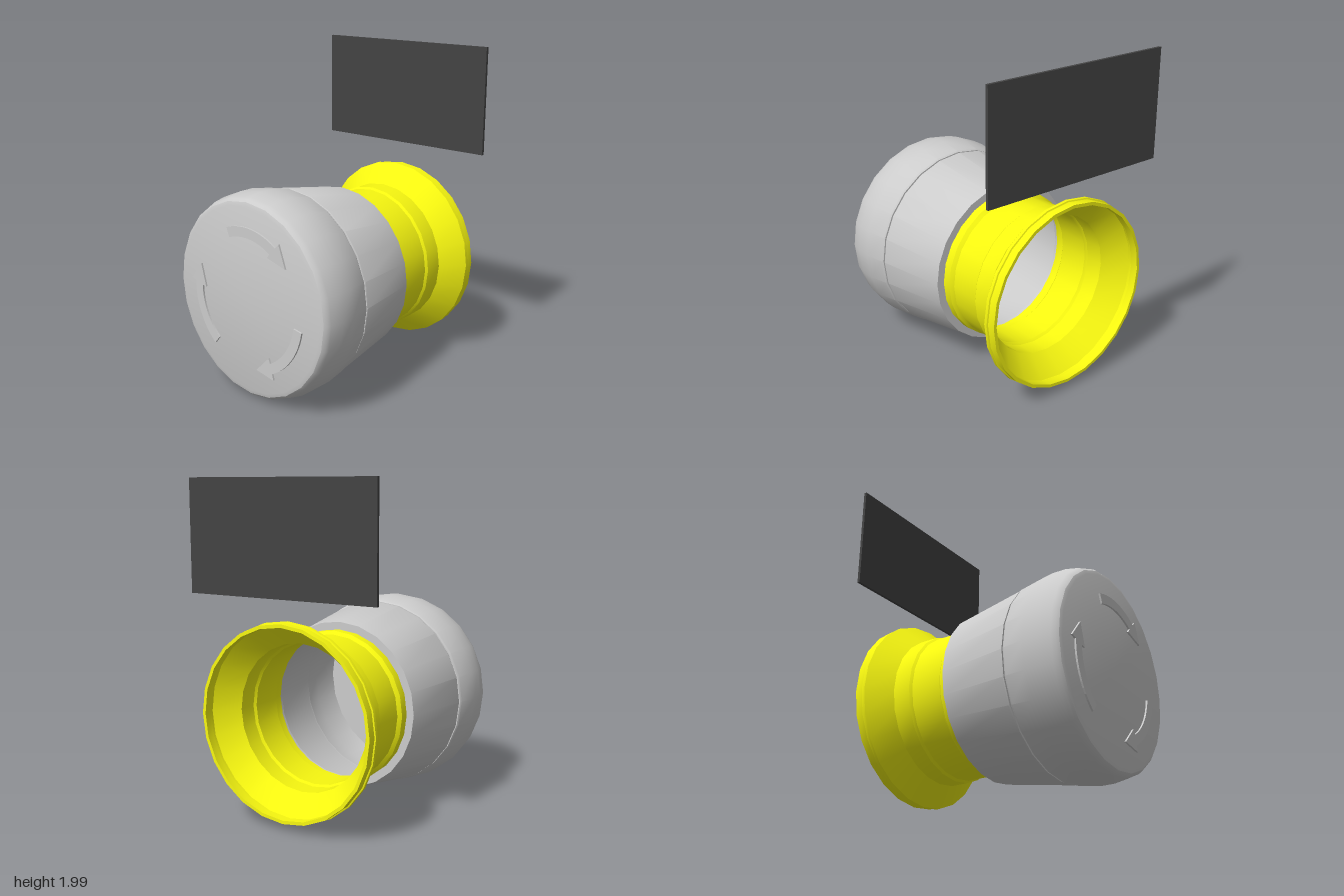
import * as THREE from 'three';
import { toCreasedNormals } from 'three/addons/utils/BufferGeometryUtils.js';

const CENTRE_Y = 0.628;
const SIDES = 24;

export function createModel() {
  const group = new THREE.Group();
  const grey = new THREE.MeshStandardMaterial({ color: 0xcccccc });
  const yellow = new THREE.MeshStandardMaterial({ color: 0xf8f810 });
  const dark = new THREE.MeshStandardMaterial({ color: 0x444444 });

  function add(name, geometry, material, y) {
    const mesh = new THREE.Mesh(geometry, material);
    mesh.name = name;
    mesh.position.y = y;
    group.add(mesh);
    return mesh;
  }

  // Turned part along z: profile holds [radius, z], outside first, then back along the inside
  function turned(name, profile, material) {
    const points = profile.map(([r, z]) => new THREE.Vector2(r, z));
    const geometry = new THREE.LatheGeometry(points, SIDES).rotateX(Math.PI / 2);
    return add(name, toCreasedNormals(geometry, 0.5), material, CENTRE_Y);
  }

  // Push cap: rounded front edge, hollow behind
  turned('pushCap', [
    [0.565, 0.355], [0.59, 0.355], [0.597, 0.365], [0.62, 0.5], [0.62, 0.59],
    [0.605, 0.665], [0.597, 0.687], [0.583, 0.702], [0.56, 0.709], [0, 0.709],
    [0, 0.67], [0.56, 0.67], [0.585, 0.5], [0.565, 0.355],
  ], grey);

  // Tapered skirt behind the cap
  turned('skirt', [
    [0.455, -0.11], [0.515, -0.11], [0.59, 0.34], [0.588, 0.346], [0.575, 0.346],
    [0.575, 0.358], [0.56, 0.358], [0.56, 0.345], [0.495, -0.085], [0.455, -0.085], [0.455, -0.11],
  ], grey);

  // Flared collar, an open thin shell
  const outer = [
    [0.575, -0.71], [0.575, -0.66], [0.583, -0.657], [0.583, -0.637], [0.46, -0.515],
    [0.46, -0.4], [0.448, -0.385], [0.448, -0.185], [0.468, -0.165], [0.468, -0.11],
  ];
  const inner = outer.map(([r, z]) => [r - 0.02, z]).reverse();
  turned('collar', [...outer, ...inner, outer[0]], yellow);

  // Three raised arrows pointing clockwise
  const deg = Math.PI / 180;
  const arrow = new THREE.Shape();
  arrow.absarc(0, 0, 0.44, 110 * deg, 57 * deg, true);
  arrow.lineTo(0.267, 0.396);
  arrow.lineTo(0.315, 0.264);
  arrow.lineTo(0.177, 0.301);
  arrow.absarc(0, 0, 0.38, 59 * deg, 110 * deg, false);
  arrow.closePath();
  const arrowGeometry = new THREE.ExtrudeGeometry(arrow, { depth: 0.02, bevelEnabled: false, curveSegments: 6 });
  for (let i = 0; i < 3; i++) {
    const mesh = add('arrow' + (i + 1), arrowGeometry, grey, CENTRE_Y);
    mesh.position.z = 0.7;
    mesh.rotation.z = -i * 120 * deg;
  }

  // Label plate above the collar
  add('labelPlate', new THREE.BoxGeometry(1.245, 0.66, 0.018), dark, 1.67).position.z = -0.713;

  return group;
}
